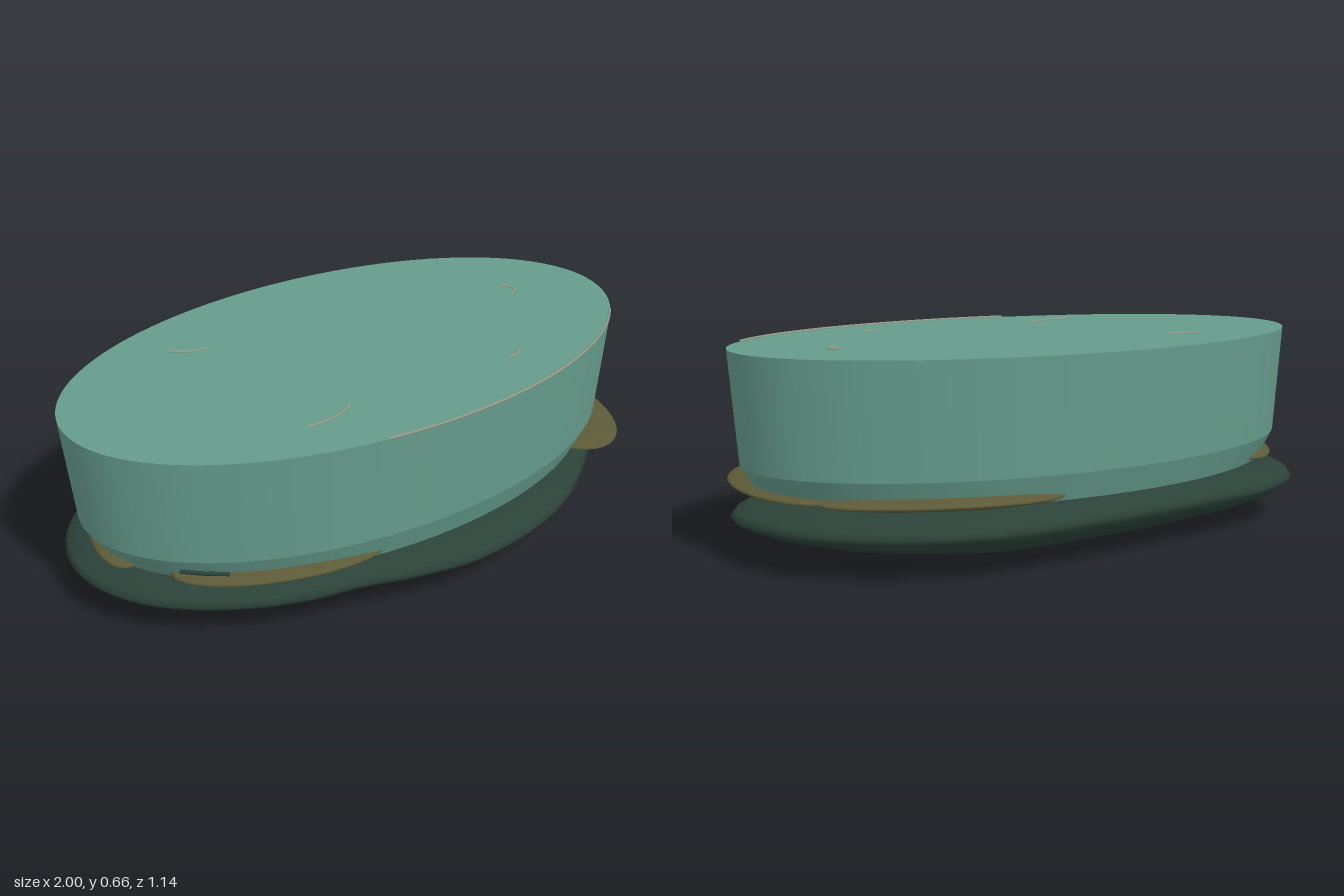
import * as THREE from 'three';

const mat = (name, color, side = THREE.FrontSide) => {
  const m = new THREE.MeshStandardMaterial({ color, side });
  m.name = name;
  return m;
};

export function createModel() {
  const group = new THREE.Group();
  const teal = mat('teal water', 0x669c8d);
  const dark = mat('dark bed', 0x2b4239);
  const olive = mat('olive mud', 0x5c5a38);
  const pale = mat('pale ripple', 0x8f9c88);

  const add = (name, geometry, material) => {
    const mesh = new THREE.Mesh(geometry, material);
    mesh.name = name;
    group.add(mesh);
    return mesh;
  };

  // Oval body: tapered wall with a chamfered foot, hard edges between bands
  const V = (x, y) => new THREE.Vector2(x, y);
  const bands = [
    [V(0, 0.215), V(0.92, 0.215)],
    [V(0.92, 0.215), V(0.972, 0.3)],
    [V(0.972, 0.3), V(1, 0.658)],
    [V(1, 0.658), V(0, 0.658)],
  ];
  const body = new THREE.Group();
  body.name = 'body';
  for (const band of bands) {
    const mesh = new THREE.Mesh(new THREE.LatheGeometry(band, 96), teal);
    mesh.name = 'bodyBand';
    body.add(mesh);
  }
  body.scale.set(0.993, 1, 0.55);
  body.position.set(0.004, 0, -0.025);
  group.add(body);

  // Irregular base: a smooth closed outline swept through a lens profile
  const outline = new THREE.CatmullRomCurve3([
    [-1, -0.08], [-0.95, -0.25], [-0.85, -0.37], [-0.7, -0.445], [-0.5, -0.485], [-0.2, -0.525],
    [0.05, -0.55], [0.27, -0.56], [0.42, -0.55], [0.62, -0.485], [0.8, -0.37], [0.93, -0.22],
    [1, 0.0], [0.95, 0.14], [0.8, 0.28], [0.6, 0.435], [0.4, 0.525], [0.12, 0.57],
    [-0.1, 0.54], [-0.28, 0.49], [-0.45, 0.46], [-0.66, 0.38], [-0.86, 0.24], [-0.97, 0.08],
  ].map(([x, z]) => new THREE.Vector3(x, 0, z)), true);
  const profile = [
    [0.001, 0.003], [0.2, 0.008], [0.45, 0.022], [0.68, 0.045], [0.85, 0.076], [0.95, 0.106],
    [0.99, 0.127], [1, 0.142], [0.985, 0.16], [0.94, 0.178], [0.85, 0.198], [0.7, 0.212], [0.001, 0.214],
  ];
  const N = 96;
  const rim = outline.getPoints(N);
  const base = new THREE.PlaneGeometry(1, 1, N, profile.length - 1);
  const pos = base.attributes.position;
  profile.forEach(([s, y], j) => {
    // the lowest point sits a little off centre
    const shift = j < 7 ? 1 - s : 0;
    rim.forEach((p, i) => pos.setXYZ(j * (N + 1) + i, p.x * s - 0.04 * shift, y, p.z * s - 0.09 * shift));
  });
  base.computeVertexNormals();
  // match normals across the seam
  const nor = base.attributes.normal;
  for (let j = 0; j < profile.length; j++) {
    const a = j * (N + 1), b = a + N;
    const n = new THREE.Vector3().fromBufferAttribute(nor, a)
      .add(new THREE.Vector3().fromBufferAttribute(nor, b)).normalize();
    nor.setXYZ(a, n.x, n.y, n.z);
    nor.setXYZ(b, n.x, n.y, n.z);
  }
  add('base', base, dark);

  // Flat mud patches squeezed between base and body: x, z, rx, rz, turn
  [
    [-0.47, 0.33, 0.345, 0.13, -0.29],
    [0.78, 0.035, 0.2, 0.345, 0],
    [0.49, -0.4, 0.37, 0.12, -0.33],
    [-0.79, -0.12, 0.12, 0.28, -0.4],
  ].forEach(([x, z, rx, rz, turn]) => {
    const patch = add('mudPatch', new THREE.SphereGeometry(1, 40, 16), olive);
    patch.scale.set(rx, 0.022, rz);
    patch.position.set(x, 0.231, z);
    patch.rotation.y = turn;
  });

  // Fine curved strands
  const strand = (name, points, y, radius, material) => {
    const curve = new THREE.CatmullRomCurve3(points.map(([x, z]) => new THREE.Vector3(x, y, z)));
    add(name, new THREE.TubeGeometry(curve, 32, radius, 6), material);
  };
  [
    [[-0.51, -0.31], [-0.48, -0.285], [-0.44, -0.27], [-0.4, -0.265]],
    [[0.69, -0.14], [0.715, -0.115], [0.715, -0.085], [0.68, -0.06]],
    [[-0.37, 0.33], [-0.31, 0.33], [-0.25, 0.315], [-0.2, 0.29]],
    [[0.39, 0.305], [0.425, 0.298], [0.45, 0.28]],
  ].forEach((points) => strand('ripple', points, 0.659, 0.005, pale));

  // Long strand following the front rim
  const edge = [];
  for (let i = 0; i <= 16; i++) {
    const a = THREE.MathUtils.lerp(1.78, 0.45, i / 16);
    edge.push([0.004 + 0.99 * Math.cos(a), -0.025 + 0.548 * Math.sin(a)]);
  }
  strand('rimRipple', edge, 0.659, 0.005, pale);

  // Small dark chip low on the front wall
  strand('wallChip', [[-0.79, 0.285], [-0.73, 0.335], [-0.67, 0.375]], 0.27, 0.007, dark);

  return group;
}
